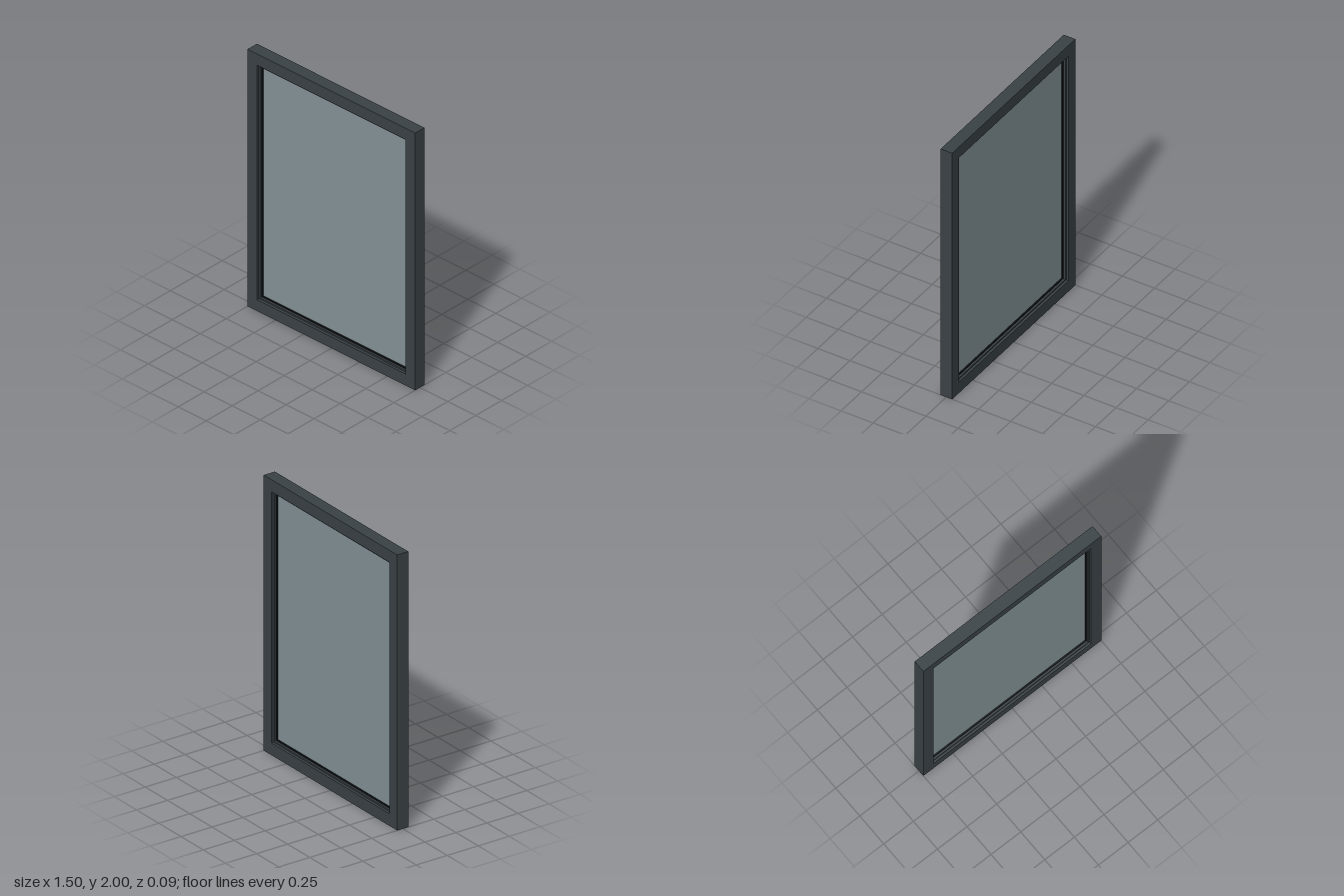
import * as THREE from 'three';

const MID_Y = 1;

// Rectangular ring centred on the pane, from outer and inner half sizes
function ring(name, outer, inner, depth, color) {
  const rect = (path, [w, h]) => {
    path.moveTo(-w, -h);
    path.lineTo(w, -h);
    path.lineTo(w, h);
    path.lineTo(-w, h);
    path.closePath();
    return path;
  };
  const shape = rect(new THREE.Shape(), outer);
  shape.holes.push(rect(new THREE.Path(), inner));
  const geometry = new THREE.ExtrudeGeometry(shape, { depth, bevelEnabled: false });
  geometry.translate(0, MID_Y, -depth / 2);
  const mesh = new THREE.Mesh(geometry, new THREE.MeshStandardMaterial({ color }));
  mesh.name = name;
  return mesh;
}

export function createModel() {
  const group = new THREE.Group();
  group.name = 'window';

  // Outer frame
  group.add(ring('frame', [0.75, 1], [0.664, 0.912], 0.09, 0x3a4246));

  // Glazing bead, with a hairline gap above and below
  group.add(ring('glazingBead', [0.664, 0.908], [0.652, 0.898], 0.06, 0x3a4246));

  // Dark rubber seal holding the pane
  group.add(ring('gasket', [0.652, 0.898], [0.643, 0.889], 0.03, 0x14171a));

  // Pane
  const glass = new THREE.Mesh(
    new THREE.BoxGeometry(1.29, 1.782, 0.012),
    new THREE.MeshStandardMaterial({ color: 0x849398 })
  );
  glass.name = 'glassPane';
  glass.position.y = MID_Y;
  group.add(glass);

  return group;
}
